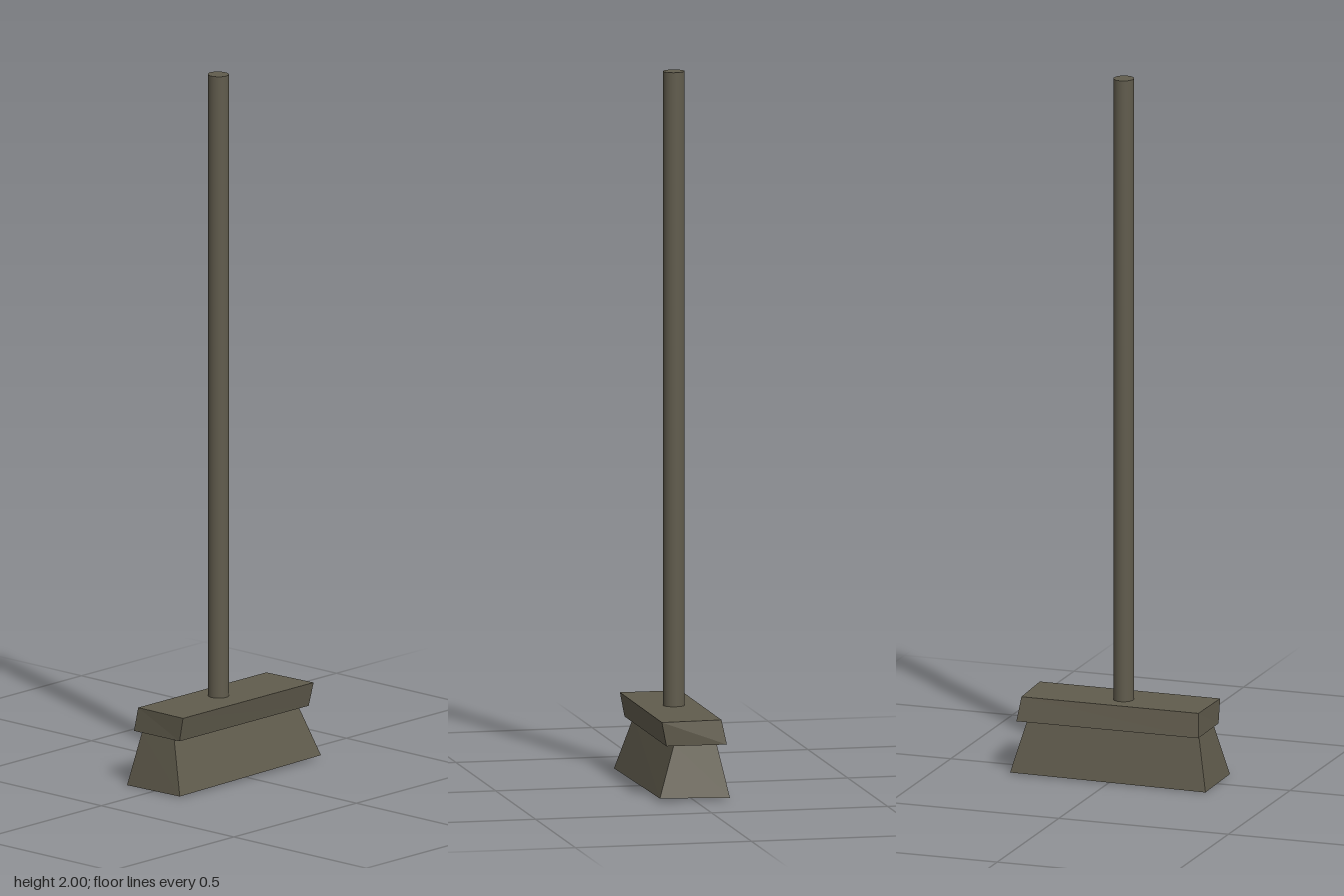
import * as THREE from 'three';

// Six-sided block between a bottom and a top quad.
// Corners run back left, back right, front right, front left (seen with -z at the back).
function makeBlock(name, bottom, top, material) {
  const points = [...bottom, ...top];
  const quads = [[0, 1, 2, 3], [7, 6, 5, 4]];
  for (let i = 0; i < 4; i++) {
    const j = (i + 1) % 4;
    quads.push([i, i + 4, j + 4, j]);
  }
  const positions = quads.flatMap(([a, b, c, d]) => [a, b, c, a, c, d].flatMap((k) => points[k]));
  const geometry = new THREE.BufferGeometry();
  geometry.setAttribute('position', new THREE.Float32BufferAttribute(positions, 3));
  geometry.computeVertexNormals();
  const mesh = new THREE.Mesh(geometry, material);
  mesh.name = name;
  return mesh;
}

export function createModel() {
  const wood = new THREE.MeshStandardMaterial({ color: 0x615c4d });
  wood.name = 'weathered wood';

  const broom = new THREE.Group();
  broom.name = 'broom';

  // Long round handle, slightly off centre
  const handle = new THREE.Mesh(new THREE.CylinderGeometry(0.03, 0.03, 1.85, 24), wood);
  handle.name = 'handle';
  handle.scale.z = 0.95;
  handle.position.set(-0.009, 1.075, 0.013);
  broom.add(handle);

  // Slanted head block
  broom.add(makeBlock(
    'head',
    [[-0.095, 0.152, -0.272], [0.075, 0.152, -0.265], [0.075, 0.152, 0.262], [-0.095, 0.152, 0.264]],
    [[-0.082, 0.22, -0.262], [0.089, 0.22, -0.27], [0.088, 0.22, 0.262], [-0.083, 0.22, 0.26]],
    wood,
  ));

  // Flared bristles, overlapping the underside of the head
  broom.add(makeBlock(
    'bristles',
    [[-0.1, 0.005, -0.289], [0.099, 0.01, -0.289], [0.099, 0.003, 0.287], [-0.1, 0, 0.287]],
    [[-0.071, 0.152, -0.248], [0.05, 0.152, -0.248], [0.05, 0.152, 0.257], [-0.071, 0.152, 0.257]],
    wood,
  ));

  return broom;
}
